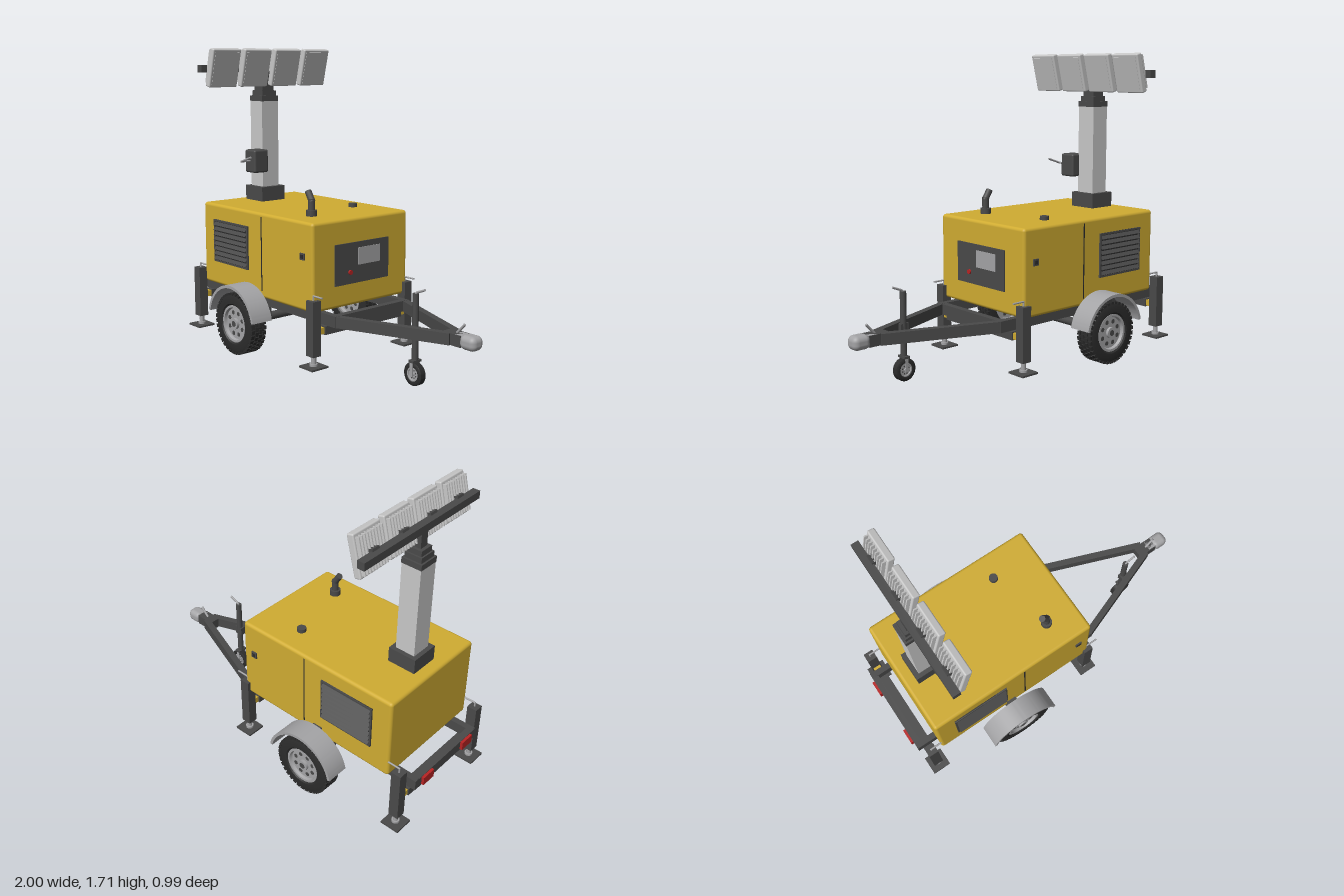
import * as THREE from 'three';
import { RoundedBoxGeometry } from 'three/addons/geometries/RoundedBoxGeometry.js';
import { toCreasedNormals } from 'three/addons/utils/BufferGeometryUtils.js';

const material = (name, color) => Object.assign(new THREE.MeshStandardMaterial({ color }), { name });
const yellow = material('body yellow', 0xd0ac32);
const dark = material('frame grey', 0x4a4a4a);
const black = material('rubber black', 0x2c2c2c);
const silver = material('mast silver', 0xc8c8c8);
const steel = material('galvanised steel', 0xa4a4a6);
const red = material('signal red', 0xb82424);
const V = (x, y, z) => new THREE.Vector3(x, y, z);

function add(parent, name, geometry, mat, x = 0, y = 0, z = 0) {
  const mesh = new THREE.Mesh(geometry, mat);
  mesh.name = name;
  mesh.position.set(x, y, z);
  parent.add(mesh);
  return mesh;
}
const box = (parent, name, mat, w, h, d, x, y, z) =>
  add(parent, name, new THREE.BoxGeometry(w, h, d), mat, x, y, z);
const cyl = (parent, name, mat, r, h, x, y, z, sides = 20) =>
  add(parent, name, new THREE.CylinderGeometry(r, r, h, sides), mat, x, y, z);
// Round bars joined end to end along a list of points
function rod(parent, name, mat, r, points) {
  for (let i = 1; i < points.length; i++) {
    const dir = points[i].clone().sub(points[i - 1]);
    const mid = points[i].clone().add(points[i - 1]).multiplyScalar(0.5);
    const bar = cyl(parent, name, mat, r, dir.length() + r, mid.x, mid.y, mid.z, 12);
    bar.quaternion.setFromUnitVectors(V(0, 1, 0), dir.normalize());
  }
}
// Closed profile of [radius, height] turned around the z axis
function turned(profile, segments) {
  const pts = [...profile, profile[0]].map(([r, h]) => new THREE.Vector2(r, h));
  return toCreasedNormals(new THREE.LatheGeometry(pts, segments).rotateX(Math.PI / 2), 0.6);
}

// Wheel with its axis along z
function makeWheel(name, R, width, rimR, lugs) {
  const g = new THREE.Group();
  g.name = name;
  const w = width / 2, t = R - 0.007;
  add(g, 'tyre', turned([
    [rimR, -w * 0.8], [rimR + 0.012, -w], [t - 0.02, -w], [t - 0.005, -w * 0.9], [t, -w * 0.75],
    [t, w * 0.75], [t - 0.005, w * 0.9], [t - 0.02, w], [rimR + 0.012, w], [rimR, w * 0.8]], 48), black);
  add(g, 'rim', turned([
    [0.001, -w * 0.6], [rimR * 0.85, -w * 0.6], [rimR * 0.9, -w * 0.9], [rimR + 0.003, -w * 0.9],
    [rimR + 0.003, w * 0.9], [rimR * 0.9, w * 0.9], [rimR * 0.85, w * 0.6], [0.001, w * 0.6]], 40), steel);
  const hub = cyl(g, 'hub', steel, rimR * 0.3, width * 0.9, 0, 0, 0);
  hub.rotation.x = Math.PI / 2;
  const cap = cyl(g, 'hub cap', dark, rimR * 0.16, width * 0.95, 0, 0, 0);
  cap.rotation.x = Math.PI / 2;
  for (let i = 0; i < 8; i++) {
    const a = (i + 0.5) * Math.PI / 4;
    const hole = cyl(g, 'rim hole', dark, rimR * 0.12, width * 0.6 + 0.004,
      Math.cos(a) * rimR * 0.62, Math.sin(a) * rimR * 0.62, 0, 12);
    hole.rotation.x = Math.PI / 2;
  }
  // Tread blocks in four staggered rows
  for (let row = 0; row < (lugs ? 4 : 0); row++) {
    for (let i = 0; i < lugs; i++) {
      const a = (i + (row % 2) / 2) / lugs * Math.PI * 2;
      const lug = box(g, 'tread block', black, 0.014, 2 * Math.PI * R / lugs * 0.68, width * 0.2,
        Math.cos(a) * (R - 0.007), Math.sin(a) * (R - 0.007), (row - 1.5) * width * 0.245);
      lug.rotation.z = a;
    }
  }
  return g;
}

// Stabiliser leg with foot and crank
function makeLeg(x, s) {
  const g = new THREE.Group();
  g.name = 'stabiliserLeg';
  g.position.set(x, 0, s * 0.337);
  box(g, 'leg tube', dark, 0.058, 0.3, 0.055, 0, 0.25, 0);
  cyl(g, 'leg rod', steel, 0.014, 0.09, 0, 0.075, 0);
  box(g, 'foot plate', dark, 0.11, 0.01, 0.11, 0, 0.041, 0);
  cyl(g, 'foot collar', steel, 0.022, 0.012, 0, 0.052, 0);
  rod(g, 'leg crank', steel, 0.005, [V(0, 0.39, 0), V(0, 0.425, 0), V(0.07, 0.425, 0)]);
  return g;
}

// One floodlight, facing +x
function makeLamp(z) {
  const g = new THREE.Group();
  g.name = 'floodlight';
  g.position.set(-0.652, 1.602, z);
  g.rotation.z = -0.25;
  add(g, 'lamp housing', new RoundedBoxGeometry(0.04, 0.222, 0.19, 2, 0.008), silver);
  box(g, 'lamp lens', silver, 0.004, 0.19, 0.16, 0.02, 0, 0);
  for (let i = 0; i < 9; i++) box(g, 'cooling fin', silver, 0.024, 0.19, 0.007, -0.03, 0, (i - 4) * 0.02);
  box(g, 'lamp bracket', dark, 0.03, 0.03, 0.05, -0.04, 0, 0);
  return g;
}

export function createModel() {
  const model = new THREE.Group();
  model.name = 'lightingTower';

  // Generator cabinet
  const body = new THREE.Group();
  body.name = 'cabinet';
  model.add(body);
  add(body, 'cabinet shell', new RoundedBoxGeometry(1.02, 0.48, 0.69, 3, 0.018), yellow, -0.35, 0.57, 0);
  for (const s of [1, -1]) {
    box(body, 'vent back', black, 0.335, 0.25, 0.006, -0.577, 0.595, s * 0.346);
    for (const e of [1, -1]) {
      box(body, 'vent frame', dark, 0.335, 0.01, 0.014, -0.577, 0.595 + e * 0.12, s * 0.348);
      box(body, 'vent frame', dark, 0.01, 0.25, 0.014, -0.577 + e * 0.163, 0.595, s * 0.348);
    }
    for (let i = 0; i < 8; i++) {
      const slat = box(body, 'vent slat', dark, 0.316, 0.026, 0.004, -0.577, 0.494 + i * 0.029, s * 0.354);
      slat.rotation.x = -s * 0.7;
    }
    box(body, 'door seam', black, 0.007, 0.42, 0.004, -0.286, 0.58, s * 0.345);
    box(body, 'door latch', dark, 0.036, 0.036, 0.012, 0.08, 0.625, s * 0.347);
    box(body, 'latch slot', black, 0.02, 0.02, 0.004, 0.08, 0.625, s * 0.353);
  }

  // Control panel on the tow end
  box(body, 'control panel', dark, 0.008, 0.225, 0.39, 0.162, 0.565, 0);
  box(body, 'panel display', steel, 0.004, 0.095, 0.16, 0.167, 0.598, -0.047);
  const button = cyl(body, 'stop button', red, 0.013, 0.016, 0.168, 0.517, 0.09);
  button.rotation.z = Math.PI / 2;

  // Exhaust and filler cap
  cyl(body, 'exhaust base', dark, 0.03, 0.034, -0.035, 0.825, 0.19);
  rod(body, 'exhaust pipe', dark, 0.019, [V(-0.035, 0.83, 0.19), V(-0.035, 0.895, 0.19), V(-0.06, 0.935, 0.19)]);
  cyl(body, 'filler cap', dark, 0.025, 0.022, -0.13, 0.82, -0.193);

  // Chassis
  const frame = new THREE.Group();
  frame.name = 'chassis';
  model.add(frame);
  for (const s of [1, -1]) {
    box(frame, 'side rail', dark, 1.235, 0.062, 0.036, -0.363, 0.29, s * 0.252);
    // Drawbar arm
    const dx = 0.6, dz = 0.225;
    const arm = box(frame, 'drawbar arm', dark, Math.hypot(dx, dz), 0.06, 0.038, 0.54, 0.29, s * 0.14);
    arm.rotation.y = Math.atan2(s * dz, dx);
    box(frame, 'body mount', dark, 0.9, 0.02, 0.036, -0.35, 0.325, s * 0.252);
    box(frame, 'axle hanger', dark, 0.07, 0.1, 0.036, -0.385, 0.225, s * 0.252);
    box(frame, 'tail light', red, 0.016, 0.05, 0.088, -0.991, 0.292, s * 0.173);
  }
  for (const x of [-0.965, -0.385, 0.232]) box(frame, 'cross member', dark, 0.038, 0.06, 0.54, x, 0.29, 0);
  const axle = cyl(frame, 'axle', dark, 0.024, 0.78, -0.385, 0.185, 0);
  axle.rotation.x = Math.PI / 2;
  for (const x of [-0.925, 0.155]) {
    box(frame, 'outrigger sleeve', dark, 0.058, 0.046, 0.56, x, 0.232, 0);
    box(frame, 'outrigger beam', yellow, 0.045, 0.034, 0.64, x, 0.232, 0);
    for (const s of [1, -1]) frame.add(makeLeg(x, s));
  }

  // Coupling head
  box(frame, 'drawbar nose', dark, 0.12, 0.06, 0.07, 0.85, 0.29, 0);
  add(frame, 'coupling head', new RoundedBoxGeometry(0.1, 0.075, 0.085, 4, 0.03), steel, 0.95, 0.29, 0);
  box(frame, 'coupling neck', steel, 0.06, 0.05, 0.06, 0.895, 0.295, 0);
  rod(frame, 'coupling lever', steel, 0.007, [V(0.86, 0.32, 0), V(0.905, 0.368, 0)]);

  // Road wheels and mudguards
  const arc = new THREE.Shape();
  arc.absarc(0, 0, 0.219, 0.2, Math.PI - 0.2, false);
  arc.absarc(0, 0, 0.203, Math.PI - 0.2, 0.2, true);
  const guard = toCreasedNormals(new THREE.ExtrudeGeometry(arc,
    { depth: 0.13, bevelEnabled: false, curveSegments: 32 }).translate(0, 0, -0.065), 0.6);
  for (const s of [1, -1]) {
    const wheel = makeWheel('roadWheel', 0.175, 0.105, 0.103, 36);
    wheel.position.set(-0.385, 0.183, s * 0.424);
    model.add(wheel);
    add(model, 'mudguard', guard, steel, -0.385, 0.186, s * 0.43);
    box(model, 'mudguard bracket', dark, 0.06, 0.02, 0.12, -0.385, 0.38, s * 0.33);
  }

  // Jockey wheel
  const jockey = new THREE.Group();
  jockey.name = 'jockeyWheel';
  jockey.position.set(0.635, 0, 0.065);
  model.add(jockey);
  cyl(jockey, 'jockey post', dark, 0.017, 0.355, 0, 0.308, 0);
  box(jockey, 'post clamp', dark, 0.05, 0.05, 0.05, 0, 0.29, 0.012);
  box(jockey, 'fork crown', dark, 0.035, 0.012, 0.06, 0, 0.135, 0);
  for (const s of [1, -1]) box(jockey, 'fork blade', steel, 0.018, 0.08, 0.005, 0, 0.097, s * 0.026);
  const small = makeWheel('small wheel', 0.068, 0.042, 0.034, 0);
  small.position.y = 0.066;
  jockey.add(small);
  rod(jockey, 'jockey crank', steel, 0.006, [V(0, 0.48, 0), V(0.01, 0.493, 0), V(0.062, 0.513, 0)]);

  // Telescopic mast
  const mast = new THREE.Group();
  mast.name = 'mast';
  model.add(mast);
  const mx = -0.712;
  box(mast, 'mast base', dark, 0.165, 0.09, 0.167, mx, 0.85, 0);
  box(mast, 'mast tube', silver, 0.115, 0.52, 0.118, mx, 1.15, 0);
  [[0.12, 1.42], [0.1, 1.45], [0.082, 1.48]].forEach(([w, y]) =>
    box(mast, 'mast collar', dark, w, 0.032, w, mx, y, 0));
  box(mast, 'mast head', dark, 0.045, 0.1, 0.05, mx, 1.53, 0);
  box(mast, 'lamp crossbar', dark, 0.042, 0.042, 0.895, mx - 0.003, 1.596, 0);
  for (const z of [-0.327, -0.109, 0.109, 0.327]) mast.add(makeLamp(z));

  // Winch on the mast side
  add(mast, 'winch box', new RoundedBoxGeometry(0.1, 0.135, 0.1, 3, 0.012), dark, -0.652, 1.055, 0.104);
  rod(mast, 'winch crank', steel, 0.006,
    [V(-0.652, 1.058, 0.15), V(-0.652, 1.058, 0.215), V(-0.562, 1.087, 0.215)]);

  return model;
}
